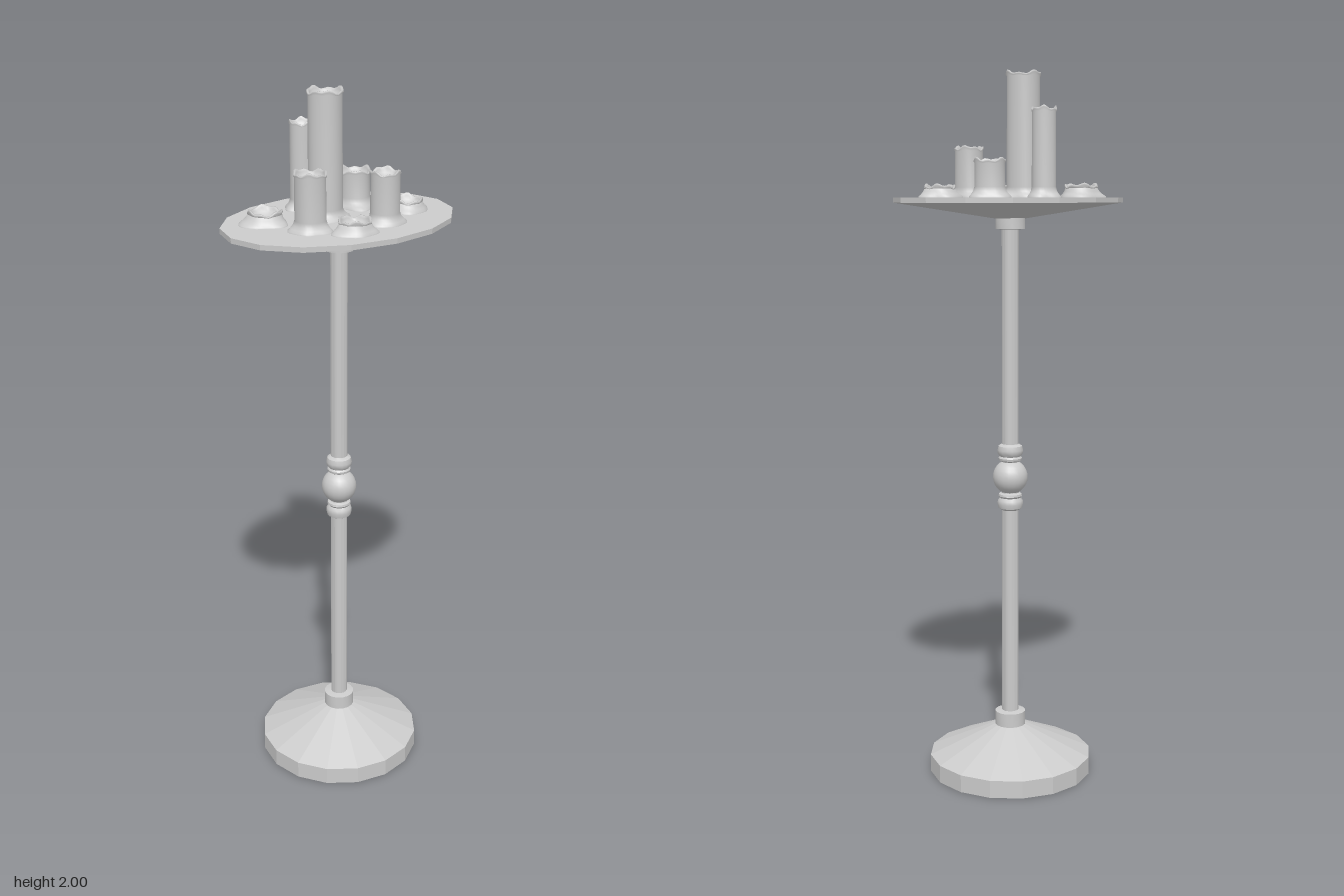
import * as THREE from 'three';
import { mergeVertices, toCreasedNormals } from 'three/addons/utils/BufferGeometryUtils.js';

const smoothMat = new THREE.MeshStandardMaterial({ color: 0xcccccc });
const flatMat = new THREE.MeshStandardMaterial({ color: 0xcccccc, flatShading: true });

const profile = (pts) => pts.map(([r, y]) => new THREE.Vector2(r, y));

function turned(name, pts, material, segments = 16) {
  let geo = new THREE.LatheGeometry(profile(pts), segments);
  if (material === smoothMat) geo = toCreasedNormals(geo, 0.7);
  const mesh = new THREE.Mesh(geo, material);
  mesh.name = name;
  return mesh;
}

// Hollow candle with a melted skirt, one wax run and an uneven rim
function candle(name, x, z, r, height, runX, runZ, seed) {
  // [radius, y, skirt weight, rim weight]
  const rows = [
    [1.36, 0, 1, 0], [1.34, 0.005, 1, 0], [1.2, 0.011, 0.75, 0], [1.06, 0.019, 0.3, 0],
    [0.98, Math.min(0.03, height * 0.7), 0.05, 0], [0.96, height - 0.012, 0, 0.3],
    [1.03, height - 0.005, 0, 0.9], [1.0, height, 0, 1], [0.92, height, 0, 1],
    [0.86, height - 0.007, 0, 0.7], [0.78, height - 0.016, 0, 0.2],
    [0.45, height - 0.024, 0, 0], [0, height - 0.027, 0, 0],
  ];
  const geo = new THREE.LatheGeometry(profile(rows.map(([a, y]) => [a * r, y])), 32);
  const runAngle = Math.atan2(runZ, runX);
  const pos = geo.attributes.position;
  for (let i = 0; i < pos.count; i++) {
    const [, y, skirt, rim] = rows[i % rows.length];
    const px = pos.getX(i), pz = pos.getZ(i);
    const a = Math.atan2(pz, px);
    const run = Math.exp(-12 * (1 - Math.cos(a - runAngle)));
    const wave = 0.07 * Math.sin(3 * a + seed) + 0.04 * Math.sin(5 * a + 2 * seed);
    const k = 1 + skirt * (wave + 0.2 * run) + 0.015 * Math.sin(4 * a + seed);
    const dip = 0.004 * Math.sin(3 * a + seed * 1.7) + 0.003 * Math.sin(7 * a + seed) - 0.004;
    pos.setXYZ(i, px * k, y + rim * dip, pz * k);
  }
  geo.deleteAttribute('normal');
  geo.deleteAttribute('uv');
  const welded = mergeVertices(geo, 1e-5);
  welded.computeVertexNormals();
  const mesh = new THREE.Mesh(welded, smoothMat);
  mesh.name = name;
  mesh.position.set(x, 1.658, z);
  return mesh;
}

export function createModel() {
  const model = new THREE.Group();
  model.name = 'candleStand';

  // Foot and its collar
  model.add(turned('base', [[0, 0], [0.235, 0], [0.235, 0.05], [0.045, 0.135], [0, 0.135]], flatMat));
  model.add(turned('baseCollar', [[0.044, 0.125], [0.044, 0.175], [0.024, 0.178]], smoothMat));

  // Pole
  model.add(turned('pole', [[0.024, 0.13], [0.024, 1.6]], smoothMat));

  // Knob with a flared ring on each side
  const ball = new THREE.Mesh(new THREE.SphereGeometry(0.05, 20, 14), smoothMat);
  ball.name = 'knob';
  ball.position.y = 0.872;
  model.add(ball);
  for (const [name, s] of [['upperRing', 1], ['lowerRing', -1]]) {
    const pts = [[0.026, 0.045], [0.033, 0.049], [0.034, 0.055], [0.03, 0.06],
      [0.036, 0.068], [0.037, 0.078], [0.034, 0.09], [0.024, 0.096]];
    const placed = pts.map(([r, y]) => [r, 0.872 + s * y]);
    model.add(turned(name, s > 0 ? placed : placed.reverse(), smoothMat));
  }

  // Oval tray, coned underneath
  model.add(turned('trayCollar', [[0.024, 1.572], [0.042, 1.574], [0.042, 1.615]], smoothMat));
  const tray = turned('tray', [[0, 1.6], [0.03, 1.6], [0.34, 1.646], [0.34, 1.66], [0, 1.66]], flatMat);
  tray.scale.z = 0.25 / 0.34;
  model.add(tray);

  // Candles: x, z, radius, height, wax run direction
  const candles = [
    [-0.03, -0.02, 0.047, 0.342, -1, 0.3],
    [-0.02, -0.142, 0.034, 0.242, -1, 0.2],
    [-0.135, 0.06, 0.042, 0.157, 0.6, -0.7],
    [0.068, 0.111, 0.04, 0.143, 0.4, -1],
    [0.112, -0.08, 0.043, 0.106, -0.3, 1],
    [-0.19, -0.069, 0.046, 0.04, -1, 0],
    [-0.053, 0.142, 0.042, 0.04, -1, -0.2],
    [0.2, 0.04, 0.042, 0.037, -1, -0.1],
  ];
  candles.forEach((c, i) => model.add(candle(`candle${i + 1}`, ...c, i * 1.9 + 0.6)));

  return model;
}
